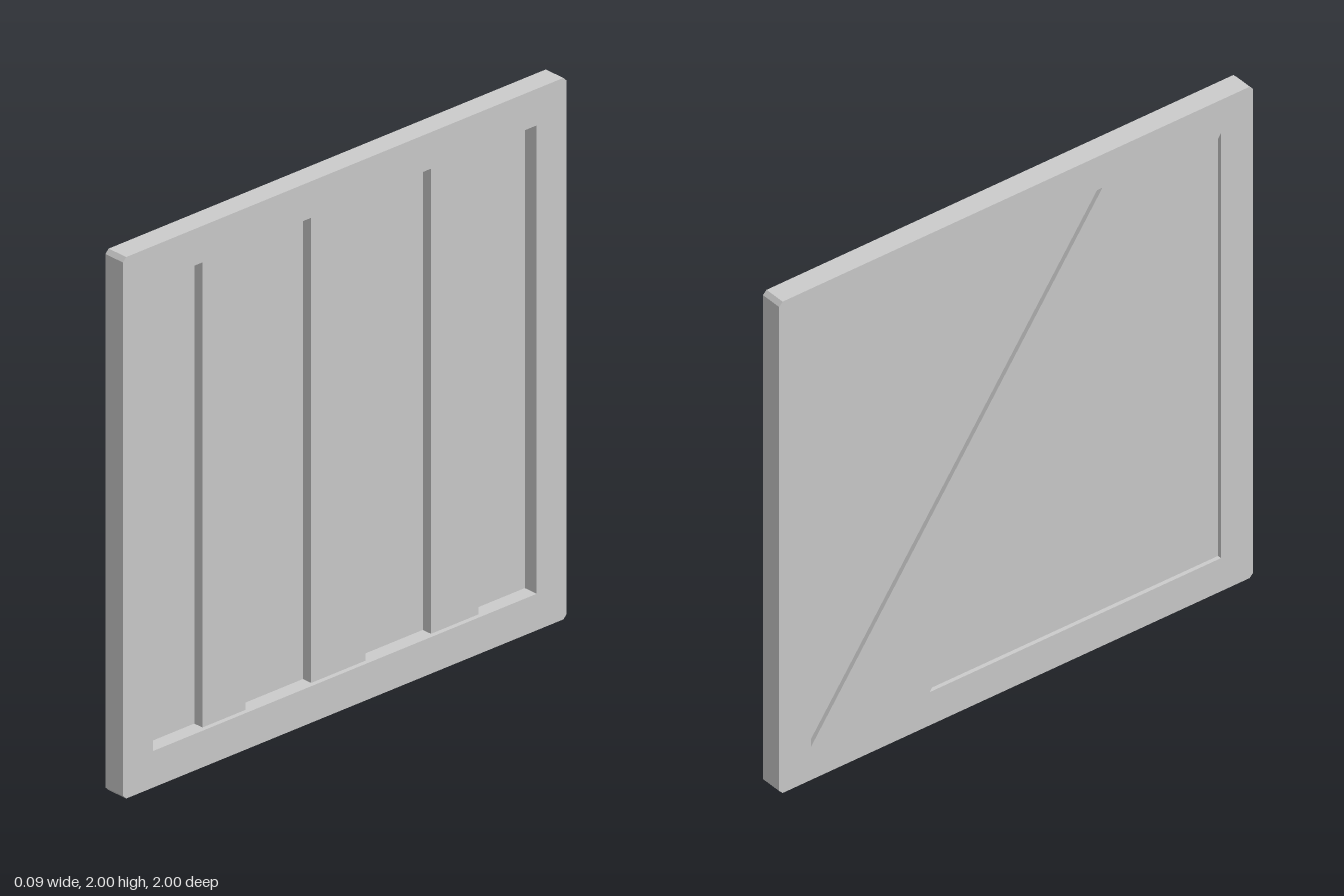
import * as THREE from 'three';

const HALF = 0.043;       // half thickness of the frame
const INNER = 0.865;      // half size of the frame opening
const FLOOR = -0.015;     // outer face of the backing boards
const SLAT = HALF - 0.018; // outer face of the slats
const BACK = -HALF + 0.016; // inner face of the backing boards

const material = new THREE.MeshStandardMaterial({ color: 0xcccccc, flatShading: true });

function named(name, geometry) {
  const mesh = new THREE.Mesh(geometry, material);
  mesh.name = name;
  return mesh;
}

const outline = (points) => points.map(([a, b]) => new THREE.Vector2(a, b));

// Upright plate: outline given as [z, y], filling x from x0 to x1
function plate(name, points, x0, x1, hole) {
  const shape = new THREE.Shape(outline(points));
  if (hole) shape.holes.push(new THREE.Path(outline(hole)));
  const geometry = new THREE.ExtrudeGeometry(shape, { depth: x1 - x0, bevelEnabled: false });
  geometry.rotateY(-Math.PI / 2).translate(x1, 0, 0);
  return named(name, geometry);
}

// Vertical slat between two z edges; the rear side may slope outward to its foot
function slat(name, zFront, zRear, slope) {
  const shape = new THREE.Shape(outline([
    [FLOOR, -zFront], [SLAT, -zFront], [SLAT, -zRear], [FLOOR, -(zRear - slope)],
  ]));
  const geometry = new THREE.ExtrudeGeometry(shape, { depth: 2 * INNER, bevelEnabled: false });
  geometry.rotateX(-Math.PI / 2).translate(0, 1 - INNER, 0);
  return named(name, geometry);
}

export function createModel() {
  const group = new THREE.Group();
  group.name = 'framedWallPanel';
  const lo = 1 - INNER, hi = 1 + INNER, c = 0.015;

  // Square frame with clipped corners
  group.add(plate('frame', [
    [-1 + c, 0], [1 - c, 0], [1, c], [1, 2 - c],
    [1 - c, 2], [-1 + c, 2], [-1, 2 - c], [-1, c],
  ], -HALF, HALF, [[-INNER, lo], [-INNER, hi], [INNER, hi], [INNER, lo]]));

  // Thin backing boards filling the opening
  group.add(plate('backing', [[-INNER, lo], [INNER, lo], [INNER, hi], [-INNER, hi]], BACK, FLOOR));

  // Diagonal brace, flush with the frame on the other side
  group.add(plate('diagonalBrace', [
    [-INNER, lo], [-0.365, lo], [INNER, hi], [0.365, hi],
  ], -HALF, BACK));

  // Three raised slats
  group.add(slat('frontSlat', 0.625, 0.43, 0.02));
  group.add(slat('middleSlat', 0.135, -0.11, 0.02));
  group.add(slat('rearSlat', -0.405, -0.62, 0));

  return group;
}
